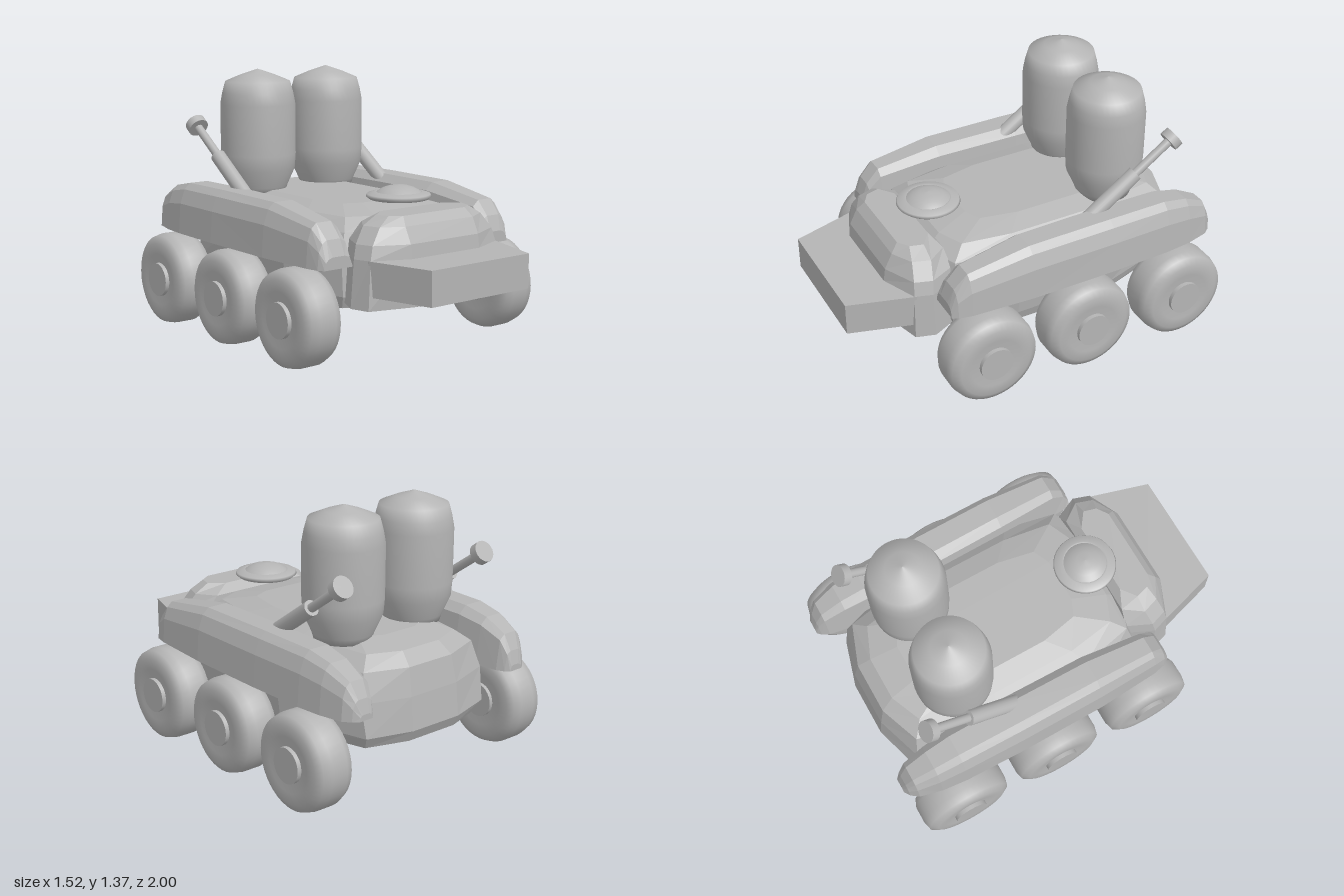
import * as THREE from 'three';

const grey = new THREE.MeshStandardMaterial({ color: 0xb4b4b4 });
grey.name = 'plain grey';

function part(geometry, name, parent) {
  const mesh = new THREE.Mesh(geometry, grey);
  mesh.name = name;
  parent.add(mesh);
  return mesh;
}

// Faceted solid joining equal-length rings of [x, y, z] points, capped at both ends
function loft(rings) {
  const n = rings[0].length, tris = [];
  for (let r = 0; r < rings.length - 1; r++) {
    for (let i = 0; i < n; i++) {
      const a = rings[r][i], b = rings[r][(i + 1) % n];
      const c = rings[r + 1][(i + 1) % n], d = rings[r + 1][i];
      tris.push([a, b, c], [a, c, d]);
    }
  }
  const first = rings[0], last = rings[rings.length - 1];
  for (let i = 1; i < n - 1; i++) {
    tris.push([first[0], first[i + 1], first[i]], [last[0], last[i], last[i + 1]]);
  }
  // A negative volume means the faces point inwards
  const volume = tris.reduce((sum, [a, b, c]) => sum + new THREE.Vector3(...a).dot(
    new THREE.Vector3(...b).cross(new THREE.Vector3(...c))), 0);
  if (volume < 0) tris.forEach(t => t.reverse());
  const geometry = new THREE.BufferGeometry();
  geometry.setAttribute('position', new THREE.Float32BufferAttribute(tris.flat(2), 3));
  geometry.computeVertexNormals();
  return geometry;
}

// Horizontal ring from the right-hand half of a plan outline, [x, z] front to back
function planRing(y, half) {
  const right = half.map(([x, z]) => [x, y, z]);
  const left = half.map(([x, z]) => [-x, y, z]).reverse();
  return [...right, ...left];
}

function lathe(points, segments = 40) {
  return new THREE.LatheGeometry(points.map(p => new THREE.Vector2(...p)), segments);
}

// Fender sections: z, top height, inner x, outer x
const fenderSections = [
  [0.56, 0.56, 0.43, 0.60], [0.53, 0.64, 0.43, 0.62], [0.46, 0.715, 0.425, 0.635],
  [0.12, 0.77, 0.39, 0.655], [-0.35, 0.772, 0.38, 0.655], [-0.68, 0.768, 0.385, 0.645],
  [-0.82, 0.74, 0.40, 0.63], [-0.94, 0.68, 0.42, 0.60], [-0.98, 0.60, 0.44, 0.57],
  [-1.0, 0.53, 0.46, 0.54],
];

function fender(side) {
  return loft(fenderSections.map(([z, top, xi, xo]) => {
    const h = top - 0.5, w = (xo - xi) / 0.26;
    return [
      [xi, 0.5], [xo, 0.5], [xo - 0.012 * w, 0.5 + h * 0.6], [xo - 0.04 * w, 0.5 + h * 0.88],
      [xo - 0.075 * w, top], [xi + 0.075 * w, top], [xi + 0.03 * w, 0.5 + h * 0.85],
    ].map(([x, y]) => [side * x, y, z]);
  }));
}

export function createModel() {
  const model = new THREE.Group();
  model.name = 'sixWheeledRover';

  // Hull
  part(loft([
    planRing(0.27, [[0.2, 0.56], [0.41, 0.45], [0.51, 0.15], [0.51, -0.4], [0.37, -0.85], [0.15, -0.92]]),
    planRing(0.33, [[0.2, 0.58], [0.42, 0.47], [0.53, 0.15], [0.53, -0.4], [0.39, -0.88], [0.15, -0.95]]),
    planRing(0.5, [[0.2, 0.56], [0.42, 0.46], [0.55, 0.15], [0.55, -0.4], [0.40, -0.85], [0.15, -0.93]]),
    planRing(0.64, [[0.2, 0.5], [0.38, 0.43], [0.44, 0.15], [0.44, -0.38], [0.36, -0.82], [0.14, -0.9]]),
    planRing(0.70, [[0.18, 0.42], [0.32, 0.36], [0.36, 0.1], [0.36, -0.36], [0.29, -0.76], [0.12, -0.83]]),
    planRing(0.735, [[0.12, 0.24], [0.21, 0.2], [0.25, 0], [0.25, -0.35], [0.22, -0.62], [0.1, -0.68]]),
  ]), 'hull', model);

  // Rounded nose and the tapered bumper in front of it
  part(loft([
    planRing(0.3, [[0.2, 0.745], [0.43, 0.68], [0.46, 0.58], [0.40, 0.45]]),
    planRing(0.54, [[0.22, 0.75], [0.41, 0.67], [0.44, 0.58], [0.38, 0.45]]),
    planRing(0.61, [[0.22, 0.74], [0.39, 0.66], [0.42, 0.57], [0.36, 0.44]]),
    planRing(0.69, [[0.22, 0.70], [0.33, 0.64], [0.36, 0.55], [0.29, 0.45]]),
    planRing(0.735, [[0.2, 0.66], [0.26, 0.62], [0.28, 0.55], [0.2, 0.49]]),
  ]), 'nose', model);
  const bumperPlan = [[0.315, 1.0], [0.415, 0.66], [0.415, 0.55]];
  part(loft([planRing(0.365, bumperPlan), planRing(0.54, bumperPlan)]), 'bumper', model);

  // Hatch disc with a domed centre
  part(lathe([[0, 0.755], [0.08, 0.755], [0.15, 0.765], [0.166, 0.778], [0.16, 0.79],
    [0.12, 0.802], [0.11, 0.798]]), 'hatchRim', model).position.z = 0.39;
  part(lathe([[0.118, 0.795], [0.105, 0.805], [0.08, 0.82], [0.045, 0.831], [0, 0.835]]),
    'hatchDome', model).position.z = 0.39;

  const tankGeometry = lathe([[0, 0.71], [0.145, 0.71], [0.155, 0.745], [0.197, 0.84], [0.203, 0.92],
    [0.203, 1.19], [0.192, 1.25], [0.175, 1.312], [0.09, 1.348], [0, 1.378]]);
  const tyreGeometry = lathe([[0, -0.10], [0.09, -0.10], [0.14, -0.107], [0.195, -0.107],
    [0.23, -0.088], [0.246, -0.05], [0.246, 0.04], [0.235, 0.085], [0.195, 0.107],
    [0.14, 0.107], [0.09, 0.098], [0, 0.098]]);
  const hubGeometry = new THREE.CylinderGeometry(0.09, 0.09, 0.24, 28);

  for (const side of [1, -1]) {
    const label = side > 0 ? 'left' : 'right';
    part(fender(side), label + 'Fender', model);
    part(tankGeometry, label + 'Tank', model).position.set(side * 0.23, 0, -0.52);

    // Three wheels along each side
    [0.39, -0.17, -0.73].forEach((z, i) => {
      const wheel = new THREE.Group();
      wheel.name = label + ['Front', 'Middle', 'Rear'][i] + 'Wheel';
      wheel.position.set(side * 0.638, 0.25, z);
      wheel.rotation.z = -side * Math.PI / 2;
      part(tyreGeometry, 'tyre', wheel);
      part(hubGeometry, 'hub', wheel);
      model.add(wheel);
    });

    // Leaning stalk: sleeve, rod and round knob
    const stalk = new THREE.Group();
    stalk.name = label + 'Stalk';
    stalk.position.set(side * 0.463, 0.735, -0.3);
    stalk.rotation.x = -THREE.MathUtils.degToRad(55);
    part(new THREE.CylinderGeometry(0.04, 0.04, 0.36, 20), 'sleeve', stalk).position.y = 0.14;
    part(new THREE.CylinderGeometry(0.023, 0.023, 0.25, 16), 'rod', stalk).position.y = 0.43;
    part(new THREE.CylinderGeometry(0.056, 0.056, 0.045, 24), 'knob', stalk).position.y = 0.575;
    model.add(stalk);
  }
  return model;
}
